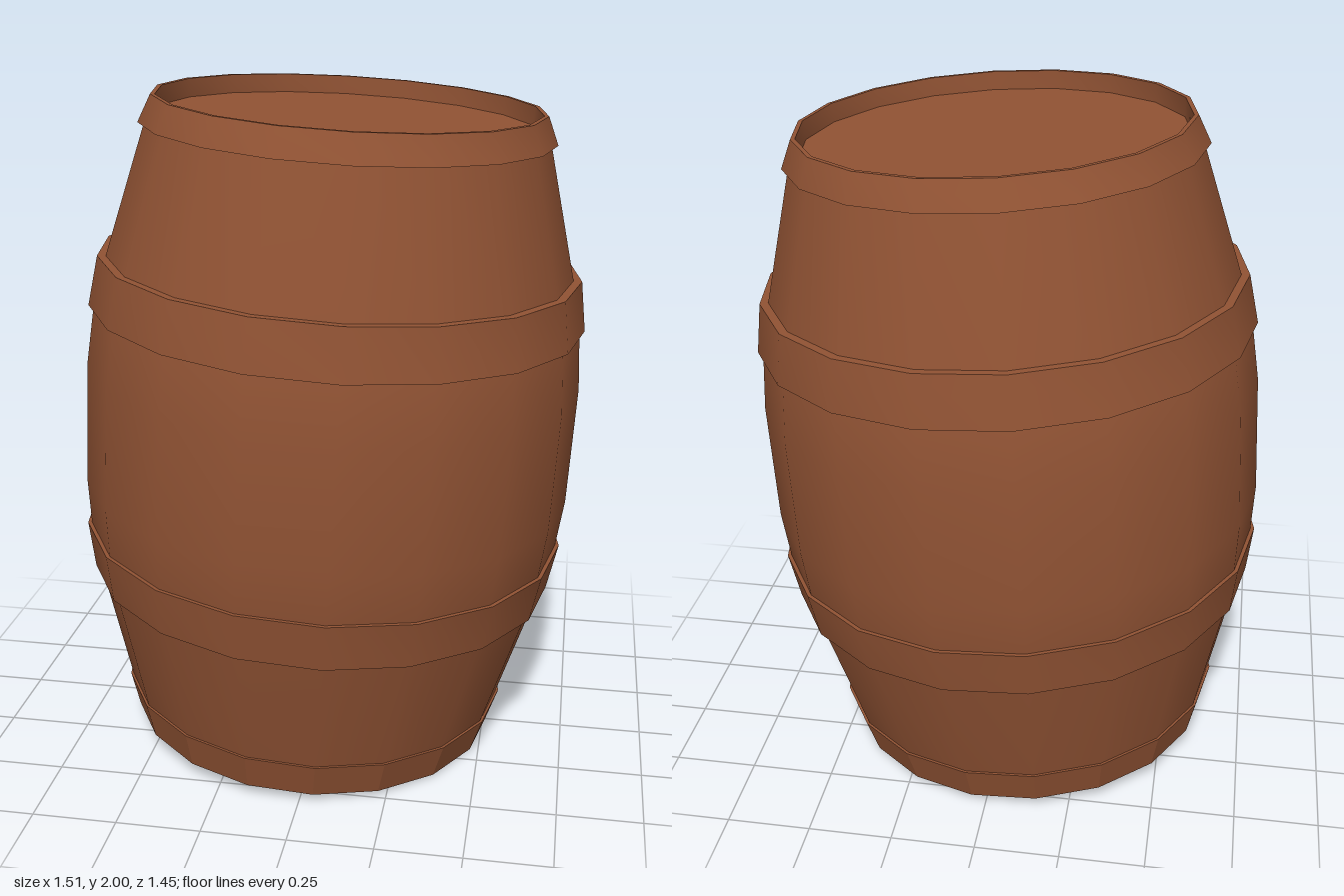
import * as THREE from 'three';
import { toCreasedNormals } from 'three/addons/utils/BufferGeometryUtils.js';

const SIDES = 18;
const H = 0.969; // half length of the barrel

// Revolves [radius, height] pairs, listed upward on the outside.
function turned(name, profile, material, crease) {
  const points = profile.map(([r, y]) => new THREE.Vector2(r, y));
  const lathe = new THREE.LatheGeometry(points, SIDES, Math.PI / 2);
  const mesh = new THREE.Mesh(toCreasedNormals(lathe, crease), material);
  mesh.name = name;
  return mesh;
}

export function createModel() {
  const model = new THREE.Group();
  model.name = 'barrel';
  const wood = new THREE.MeshStandardMaterial({ color: 0x915334 });

  const barrel = new THREE.Group();
  barrel.name = 'tiltedBarrel';

  // Bulging staves with a recessed lid at each end
  const lower = [
    [0, -H + 0.055], [0.55, -H + 0.055], [0.553, -H], [0.56, -H],
    [0.69, -0.49], [0.72, -0.35], [0.737, -0.18],
  ];
  const upper = lower.map(([r, y]) => [r, -y]).reverse();
  barrel.add(turned('staves', [...lower, ...upper], wood, 0.6));

  // Hoops: bottom height and radius, top height and radius
  const hoops = [
    ['bottomHoop', -H, 0.566, -0.858, 0.598, 0.2],
    ['lowerHoop', -0.473, 0.709, -0.328, 0.734, 0.6],
    ['upperHoop', 0.36, 0.734, 0.507, 0.71, 0.6],
    ['topHoop', 0.89, 0.6, H, 0.566, 0.6],
  ];
  for (const [name, y0, r0, y1, r1, crease] of hoops) {
    const t = 0.03;
    // Ends of the barrel keep a thin rim; the other edges run into the staves
    const in0 = y0 === -H ? 0.553 : r0 - t;
    const in1 = y1 === H ? 0.553 : r1 - t;
    barrel.add(turned(name, [[in0, y0], [r0, y0], [r1, y1], [in1, y1]], wood, crease));
  }

  // The whole barrel leans slightly toward its left
  barrel.rotation.z = -0.0578;
  barrel.position.y = 1;
  model.add(barrel);
  return model;
}
